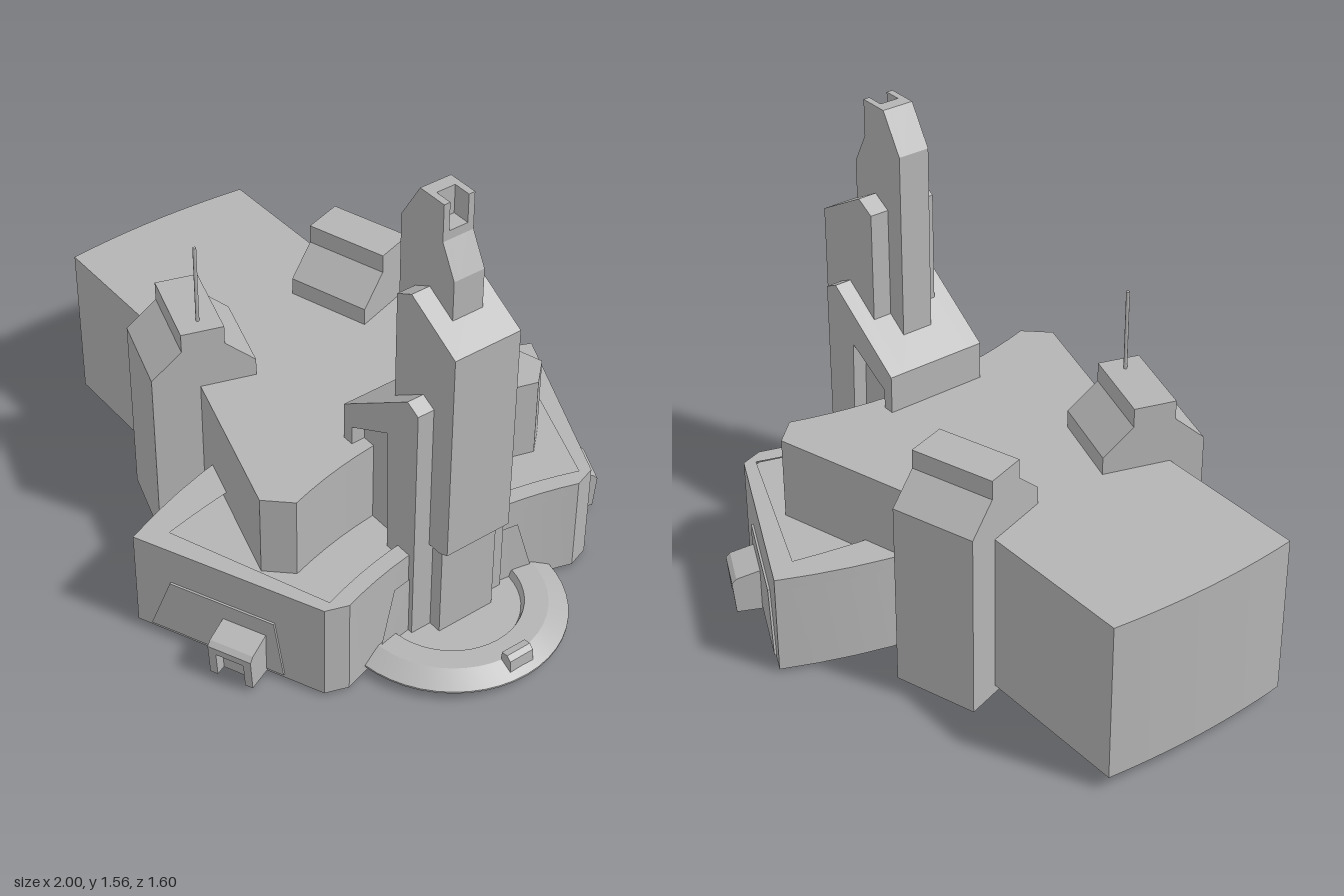
import * as THREE from 'three';
import { toCreasedNormals } from 'three/addons/utils/BufferGeometryUtils.js';

const wall = new THREE.MeshStandardMaterial({ color: 0xb4b4b4 });
wall.name = 'paleGrey';

const makeShape = (pts) => new THREE.Shape(pts.map(([x, y]) => new THREE.Vector2(x, y)));

function addMesh(parent, name, geometry) {
  const mesh = new THREE.Mesh(geometry, wall);
  mesh.name = name;
  parent.add(mesh);
  return mesh;
}

// Side profile (x, y) extruded along z from z0 to z1
function slab(pts, z0, z1) {
  return new THREE.ExtrudeGeometry(makeShape(pts), { depth: z1 - z0, bevelEnabled: false }).translate(0, 0, z0);
}

// Floor plan (x, z), mirrored about z = 0, extruded from y0 to y1
function storey(plan, y0, y1, hole) {
  const shape = makeShape(plan);
  if (hole) shape.holes.push(makeShape(hole));
  const geo = new THREE.ExtrudeGeometry(shape, { depth: y1 - y0, bevelEnabled: false });
  geo.rotateX(-Math.PI / 2).translate(0, y0, 0);
  return toCreasedNormals(geo, 0.3);
}

// Shallow arc x = x0 + bulge * (z / span)^2 from z = from to z = -from
function arc(x0, bulge, span, from, n = 14) {
  return Array.from({ length: n + 1 }, (_, i) => {
    const z = from * (1 - (2 * i) / n);
    return [x0 + bulge * (z / span) ** 2, z];
  });
}

// Closed symmetric plan: front arc, corner points on the -z side, back arc, corners on the +z side
function plan(frontArc, corners, backArc) {
  const mirrored = corners.map(([x, z]) => [x, -z]).reverse();
  return [...frontArc, ...corners, ...backArc, ...mirrored];
}

function createEntrance(side) {
  const g = new THREE.Group();
  g.name = side > 0 ? 'leftEntrance' : 'rightEntrance';
  // trapezoid wall panel
  const panel = [[-0.337, 0.025], [0.135, 0.025], [0.103, 0.225], [-0.262, 0.225]];
  addMesh(g, 'entrancePanel', slab(panel.map(([x, y]) => [x * side, y]), -0.002, 0.007));
  // porch: two cheeks and a sloping roof around a doorway
  const porch = [[0, 0.015], [0.09, 0.015], [0.1, 0.13], [0.085, 0.145], [0, 0.168]];
  const opening = [[0, 0.015], [0.055, 0.015], [0.055, 0.105], [0, 0.105]];
  const roof = [[0, 0.105], [0.098, 0.105], [0.1, 0.13], [0.085, 0.145], [0, 0.168]];
  const turned = (pts, a, b) => slab(pts, a, b).rotateY(-Math.PI / 2);
  addMesh(g, 'porchCheek', turned(porch, 0.048, 0.075));
  addMesh(g, 'porchCheek', turned(porch, -0.075, -0.048));
  addMesh(g, 'porchRoof', turned(roof, -0.048, 0.048));
  addMesh(g, 'porchDoor', turned(opening, -0.048, 0.048));
  g.position.set(0.427, 0, 0.638 * side);
  g.rotation.y = Math.atan2(0.414, 0.91 * side);
  return g;
}

export function createModel() {
  const model = new THREE.Group();
  model.name = 'building';

  // Main hall
  addMesh(model, 'mainHall', storey(plan(
    arc(0.39, 0.075, 0.47, 0.47),
    [[0.39, -0.55], [-0.15, -0.39], [-0.3, -0.345]],
    arc(-1, 0.02, 0.34, -0.34)), 0.05, 0.6));

  // Podium with a sunken roof terrace
  const podium = plan(arc(0.625, 0.075, 0.45, 0.45), [[0.675, -0.525]], arc(-0.11, 0.18, 0.8, -0.8));
  const terrace = plan(arc(0.57, 0.085, 0.49, 0.49), [], arc(0.04, 0.08, 0.7, -0.7));
  addMesh(model, 'podium', storey(podium, 0.01, 0.315));
  addMesh(model, 'podiumParapet', storey(podium, 0.315, 0.355, terrace));

  // Trapezoid panel following the curved podium front
  const panel = new THREE.PlaneGeometry(1, 1, 16, 1);
  const p = panel.attributes.position;
  for (let i = 0; i < p.count; i++) {
    const top = p.getY(i) > 0;
    const z = -p.getX(i) * (top ? 0.49 : 0.62);
    p.setXYZ(i, 0.631 + 0.075 * (z / 0.45) ** 2, top ? 0.26 : 0.03, z);
  }
  panel.computeVertexNormals();
  addMesh(model, 'frontPanel', panel);

  // Pair of turned side towers and the two entrances
  const towerProfile = [[-0.17, 0.02], [0.17, 0.02], [0.17, 0.66], [0.07, 0.75],
    [0.07, 0.815], [-0.07, 0.815], [-0.07, 0.75], [-0.17, 0.66]];
  for (const side of [1, -1]) {
    const tower = addMesh(model, side > 0 ? 'leftTower' : 'rightTower', slab(towerProfile, -0.145, 0.145));
    tower.position.set(-0.287, 0, 0.333 * side);
    tower.rotation.y = 1.266 * side;
    model.add(createEntrance(side));
  }
  const antenna = addMesh(model, 'antenna', new THREE.CylinderGeometry(0.006, 0.006, 0.285, 8));
  antenna.position.set(-0.203, 0.9475, 0.358);

  // Pylon base: core with a raised arch frame on each side
  const pylon = new THREE.Group();
  pylon.name = 'pylon';
  model.add(pylon);
  const core = [[0.31, 0], [0.66, 0], [0.66, 0.91], [0.61, 0.935], [0.31, 0.73]];
  const frame = [[0.31, 0.73], [0.31, 0.55], [0.35, 0.55], [0.35, 0.665], [0.52, 0.757],
    [0.53, 0.36], [0.53, 0], [0.66, 0], [0.66, 0.91], [0.61, 0.935]];
  addMesh(pylon, 'pylonCore', slab(core, -0.13, 0.13));
  addMesh(pylon, 'pylonFrame', slab(frame, 0.13, 0.178));
  addMesh(pylon, 'pylonFrame', slab(frame, -0.178, -0.13));

  // Pylon shaft and the column carrying it
  addMesh(pylon, 'pylonShaft', slab([[0.48, 0.385], [0.71, 0.385], [0.745, 0.4],
    [0.745, 1.14], [0.545, 1.255], [0.48, 1.22]], -0.12, 0.12));
  addMesh(pylon, 'pylonColumn', slab([[0.5, 0], [0.705, 0], [0.705, 0.39], [0.5, 0.39]], -0.105, 0.105));

  // Pylon spire with a notch at the top
  const spireBody = [[0.41, 0.7], [0.65, 0.7], [0.65, 1.33], [0.595, 1.435]];
  const spireBack = [[0.49, 1.56], [0.41, 1.43]];
  const cheek = [...spireBody, [0.595, 1.56], ...spireBack];
  addMesh(pylon, 'spireCore', slab([...spireBody, [0.595, 1.465], [0.535, 1.465], [0.535, 1.56], ...spireBack], -0.033, 0.033));
  addMesh(pylon, 'spireCheek', slab(cheek, 0.033, 0.055));
  addMesh(pylon, 'spireCheek', slab(cheek, -0.055, -0.033));

  // Round forecourt with a sloping rim and a small marker block
  const rim = [[0, 0.03], [0.375, 0.03], [0.375, 0.036], [0.31, 0.07], [0.235, 0.07], [0.225, 0.045], [0, 0.045]];
  const court = new THREE.LatheGeometry(rim.map(([r, y]) => new THREE.Vector2(r, y)), 48);
  addMesh(model, 'forecourt', toCreasedNormals(court, 0.3)).position.x = 0.625;
  addMesh(model, 'marker', slab([[0.93, 0.05], [0.975, 0.025], [0.97, 0.09], [0.955, 0.105], [0.93, 0.1]], -0.045, 0.045));

  return model;
}
